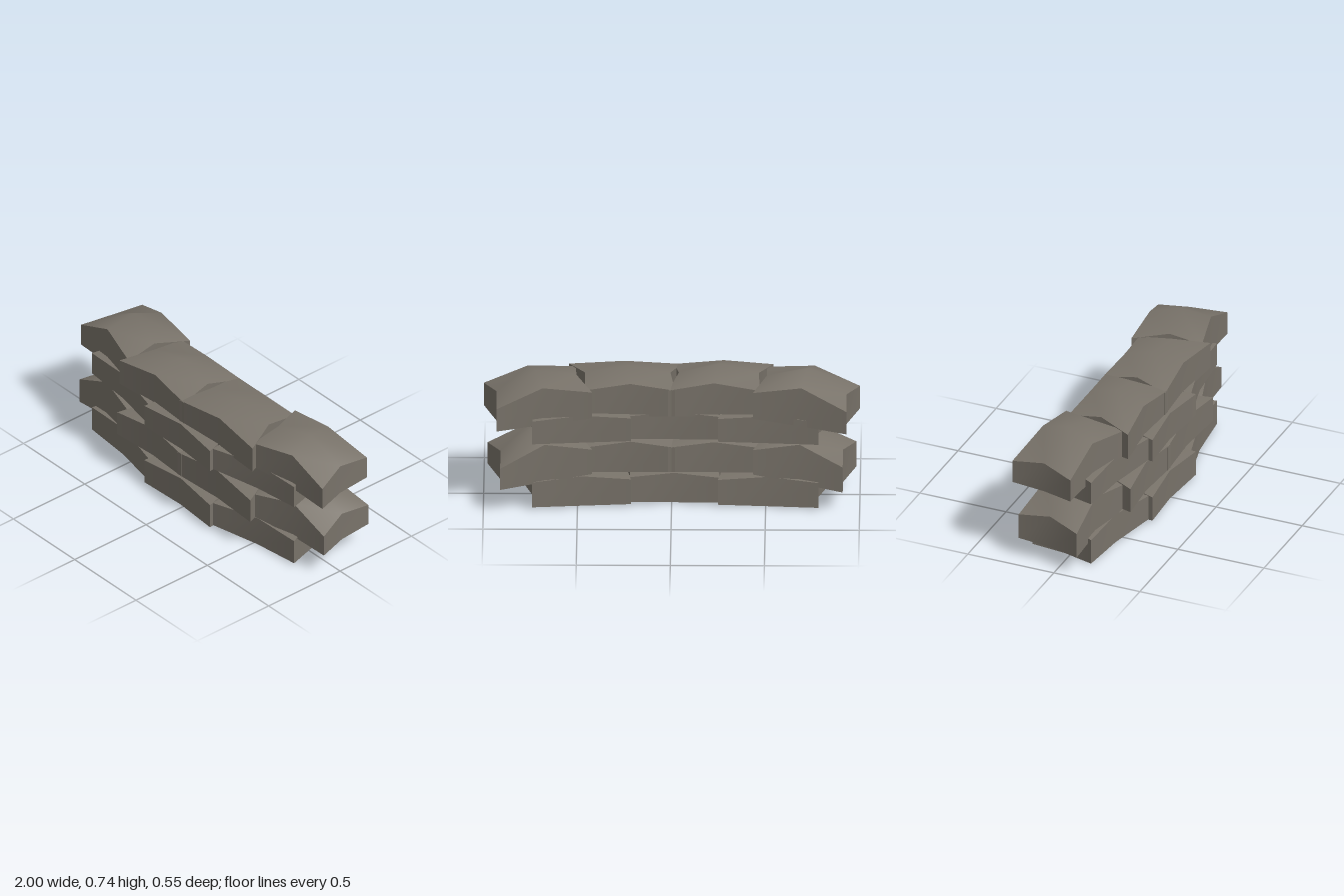
import * as THREE from 'three';

const lerp = THREE.MathUtils.lerp;

// Plan of the joints between stones: [front x, front z, back x, back z]
const SHORT_PLAN = [
  [-0.85, 0.15, -0.78, -0.22], [-0.29, 0.26, -0.25, -0.15],
  [0.25, 0.27, 0.22, -0.145], [0.8, 0.15, 0.74, -0.225],
];
const LONG_PLAN = [
  [-0.98, 0.11, -0.91, -0.258], [-0.52, 0.24, -0.45, -0.15],
  [-0.03, 0.24, 0, -0.15], [0.53, 0.24, 0.44, -0.15],
  [0.98, 0.11, 0.91, -0.262],
];

// Courses, bottom to top. end, joint: [bottom, top] heights; peaks: top of each stone;
// step: how far the end stones sit behind their neighbours; overlap: how far corners cross
const COURSES = [
  { plan: SHORT_PLAN, end: [0.013, 0.155], joint: [0.013, 0.155], peaks: [0.195, 0.195, 0.195], step: 0.025, overlap: 0.004 },
  { plan: LONG_PLAN, end: [0.122, 0.255], joint: [0.187, 0.327], peaks: [0.41, 0.38, 0.385, 0.413], step: 0.05, overlap: 0.018, twist: 0.014, tilt: 0.011 },
  { plan: SHORT_PLAN, end: [0.375, 0.505], joint: [0.375, 0.505], peaks: [0.54, 0.545, 0.54], step: 0.025, overlap: 0.004 },
  { plan: LONG_PLAN, end: [0.457, 0.585], joint: [0.507, 0.655], peaks: [0.742, 0.733, 0.72, 0.72], step: 0.035, overlap: 0.018, twist: -0.014, reach: 0.02, recess: 0.015 },
];

// Corners of one stone at joint i
function jointAt(course, i, stone) {
  const { plan, end, joint, step, overlap, peaks, twist = 0, tilt = 0, reach = 0, recess = 0 } = course;
  const [frontX, frontZ, backX, backZ] = plan[i];
  const outer = i === 0 || i === plan.length - 1;
  const side = Math.sign(frontX);
  if (outer) {
    return {
      frontX: frontX + side * reach, backX: backX + side * reach,
      frontZ: frontZ - side * twist, backZ: backZ - side * twist,
      bottom: end[0] + side * tilt, top: end[1], overlap: 0, pinch: 0.035,
    };
  }
  const endStone = stone === 0 || stone === peaks.length - 1;
  return {
    frontX, backX,
    frontZ: frontZ - recess - (endStone ? step : 0), backZ: backZ - (endStone ? 0.03 : 0),
    bottom: joint[0], top: joint[1], overlap, pinch: 0.022,
  };
}

// Pillow-topped block: sides pinch inwards, top and bottom swell at the middle
function stoneGeometry(left, right, peak) {
  const geo = new THREE.BoxGeometry(2, 2, 2, 2, 1, 2);
  const p = geo.attributes.position;
  const joinTop = Math.max(left.top, right.top);
  for (let i = 0; i < p.count; i++) {
    const u = Math.round(p.getX(i)), w = Math.round(p.getZ(i));
    const at = (key) => lerp(left[key], right[key], (u + 1) / 2);
    const depth = (1 - w) / 2;
    const x = lerp(at('frontX'), at('backX'), depth) + u * (w === 0 ? -at('pinch') : at('overlap'));
    const z = lerp(at('frontZ'), at('backZ'), depth) - w * (u === 0 ? 0.025 : 0);
    let y;
    if (p.getY(i) > 0) {
      const midTop = w === 0 ? peak : lerp(joinTop, peak, 0.42);
      y = u === 0 ? midTop : at('top') + (w === 0 ? 0.027 : 0);
    } else {
      y = at('bottom') - (u === 0 ? 0.01 : 0) - (w === 0 ? 0.015 : 0);
    }
    p.setXYZ(i, x, Math.max(0, y), z);
  }
  geo.computeVertexNormals();
  return geo;
}

export function createModel() {
  const model = new THREE.Group();
  model.name = 'stoneWall';
  const stone = new THREE.MeshStandardMaterial({ color: 0x79736a });
  stone.name = 'greyStone';

  // Staggered courses of three and four stones
  COURSES.forEach((layout, c) => {
    const course = new THREE.Group();
    course.name = `course${c + 1}`;
    layout.peaks.forEach((peak, i) => {
      const mesh = new THREE.Mesh(stoneGeometry(jointAt(layout, i, i), jointAt(layout, i + 1, i), peak), stone);
      mesh.name = `stone${i + 1}`;
      course.add(mesh);
    });
    model.add(course);
  });
  return model;
}
